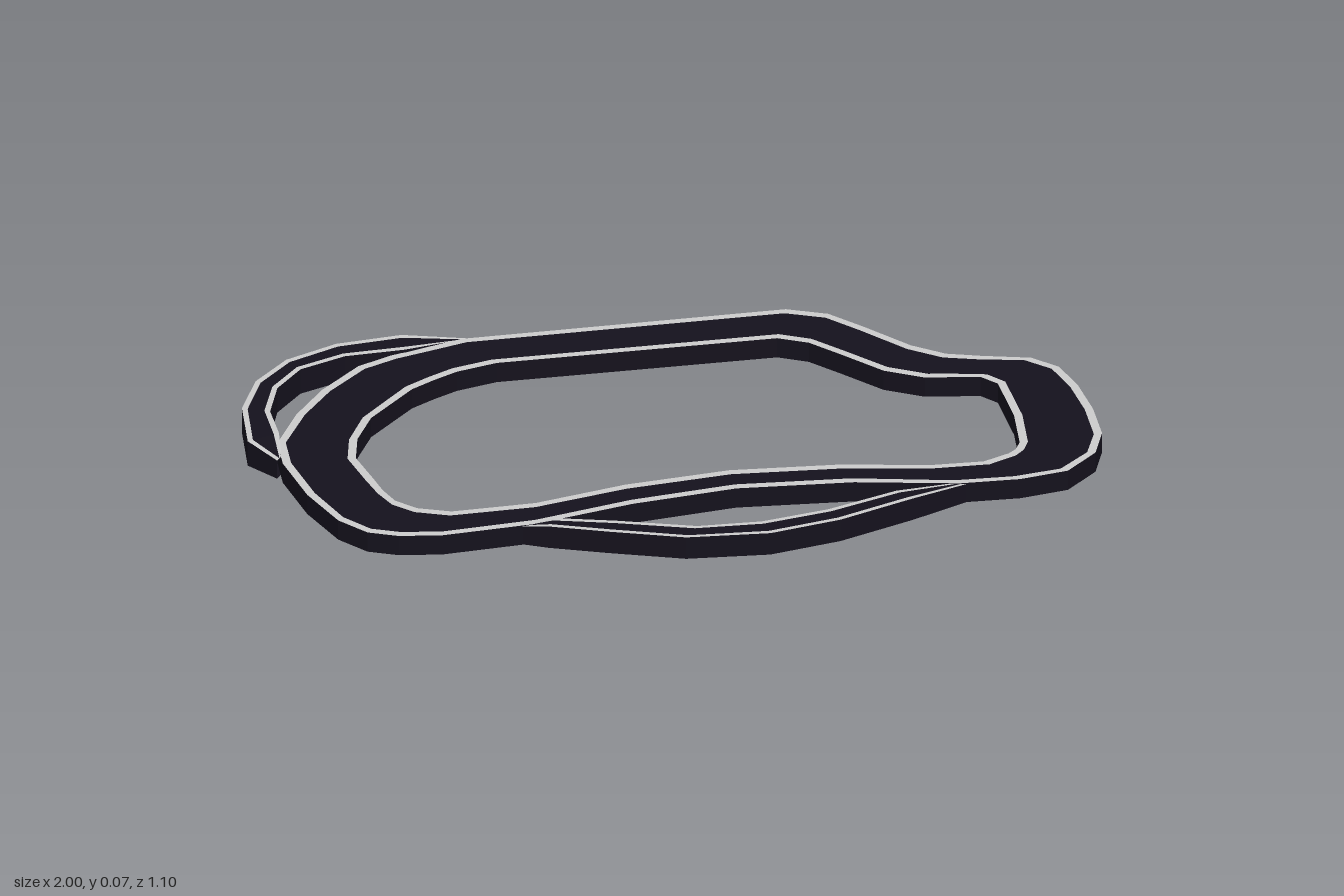
import * as THREE from 'three';

const asphalt = new THREE.MeshStandardMaterial({ color: 0x14111c, flatShading: true, side: THREE.DoubleSide });
const kerbGrey = new THREE.MeshStandardMaterial({ color: 0xcccccc, flatShading: true, side: THREE.DoubleSide });

// Each section: outer x, outer z, inner x, inner z (clockwise seen from above)
const CIRCUIT = [
  [-0.41, -0.52, -0.35, -0.39], [0.37, -0.525, 0.325, -0.39], [0.465, -0.485, 0.395, -0.355],
  [0.535, -0.41, 0.46, -0.285], [0.63, -0.3, 0.545, -0.19], [0.705, -0.245, 0.635, -0.14],
  [0.785, -0.22, 0.7, -0.13], [0.9, -0.19, 0.765, -0.12], [0.957, -0.135, 0.8, -0.08],
  [0.985, -0.04, 0.805, 0], [1, 0.08, 0.81, 0.08], [1, 0.2, 0.8, 0.21],
  [0.968, 0.29, 0.785, 0.24], [0.888, 0.365, 0.765, 0.257], [0.77, 0.385, 0.7, 0.285],
  [0.625, 0.38, 0.567, 0.28], [0.38, 0.33, 0.37, 0.24], [0.1, 0.31, 0.1, 0.22],
  [-0.155, 0.34, -0.155, 0.245], [-0.4, 0.395, -0.38, 0.295], [-0.625, 0.41, -0.583, 0.3],
  [-0.727, 0.395, -0.66, 0.27], [-0.797, 0.365, -0.705, 0.225], [-0.855, 0.295, -0.725, 0.17],
  [-0.905, 0.16, -0.737, 0.11], [-0.935, 0, -0.76, 0.005], [-0.93, -0.1, -0.74, -0.085],
  [-0.86, -0.23, -0.69, -0.18], [-0.78, -0.335, -0.62, -0.25], [-0.675, -0.433, -0.57, -0.3],
  [-0.59, -0.47, -0.51, -0.335], [-0.5, -0.495, -0.45, -0.365],
];
const FRONT_LOOP = [
  [0.64, 0.383, 0.61, 0.373], [0.5, 0.44, 0.47, 0.395], [0.315, 0.51, 0.295, 0.455],
  [0.14, 0.545, 0.13, 0.485], [-0.06, 0.53, -0.025, 0.48], [-0.235, 0.47, -0.21, 0.42],
  [-0.37, 0.42, -0.35, 0.382], [-0.43, 0.397, -0.41, 0.39],
];
const LEFT_LOOP = [
  [-0.945, -0.02, -0.93, -0.04], [-1, -0.107, -0.92, -0.135], [-0.985, -0.267, -0.922, -0.24],
  [-0.93, -0.39, -0.885, -0.348], [-0.84, -0.48, -0.815, -0.428], [-0.71, -0.535, -0.7, -0.472],
  [-0.55, -0.55, -0.555, -0.478], [-0.395, -0.523, -0.42, -0.518],
];

// Surface spanning neighbouring columns of points
function strips(pairs, closed) {
  const pos = [];
  for (const [a, b] of pairs) {
    const n = a.length;
    for (let i = 0; i < (closed ? n : n - 1); i++) {
      const j = (i + 1) % n;
      for (const p of [a[i], b[i], b[j], a[i], b[j], a[j]]) pos.push(p.x, p.y, p.z);
    }
  }
  const geo = new THREE.BufferGeometry();
  geo.setAttribute('position', new THREE.Float32BufferAttribute(pos, 3));
  geo.computeVertexNormals();
  return geo;
}

// Road slab with a kerb along both edges; open roads taper in height at their ends
function road(name, sections, bottom, top, kerbWidth, closed) {
  const column = (side, high) => sections.map(([ox, oz, ix, iz], i) => {
    const atEnd = !closed && (i === 0 || i === sections.length - 1);
    const yTop = atEnd ? 0.056 : top, yBottom = atEnd ? 0.007 : bottom;
    const k = Math.min(0.5, kerbWidth / Math.hypot(ix - ox, iz - oz));
    const t = [0, k, 1 - k, 1][side];
    return new THREE.Vector3(ox + (ix - ox) * t, high ? yTop : yBottom, oz + (iz - oz) * t);
  });
  const outer = column(0, true), roadOuter = column(1, true);
  const roadInner = column(2, true), inner = column(3, true);
  const outerLow = column(0, false), innerLow = column(3, false);

  const group = new THREE.Group();
  group.name = name;
  const add = (part, pairs, material) => {
    const mesh = new THREE.Mesh(strips(pairs, closed), material);
    mesh.name = part;
    group.add(mesh);
  };
  add('roadBed', [[outerLow, outer], [roadOuter, roadInner], [inner, innerLow], [innerLow, outerLow]], asphalt);
  add('outerKerb', [[outer, roadOuter]], kerbGrey);
  add('innerKerb', [[roadInner, inner]], kerbGrey);
  return group;
}

export function createModel() {
  const model = new THREE.Group();
  model.name = 'raceTrack';
  model.add(
    road('mainCircuit', CIRCUIT, 0.006, 0.058, 0.02, true),
    road('frontLoop', FRONT_LOOP, 0.004, 0.062, 0.012, false),
    road('leftLoop', LEFT_LOOP, 0, 0.066, 0.014, false),
  );
  return model;
}
